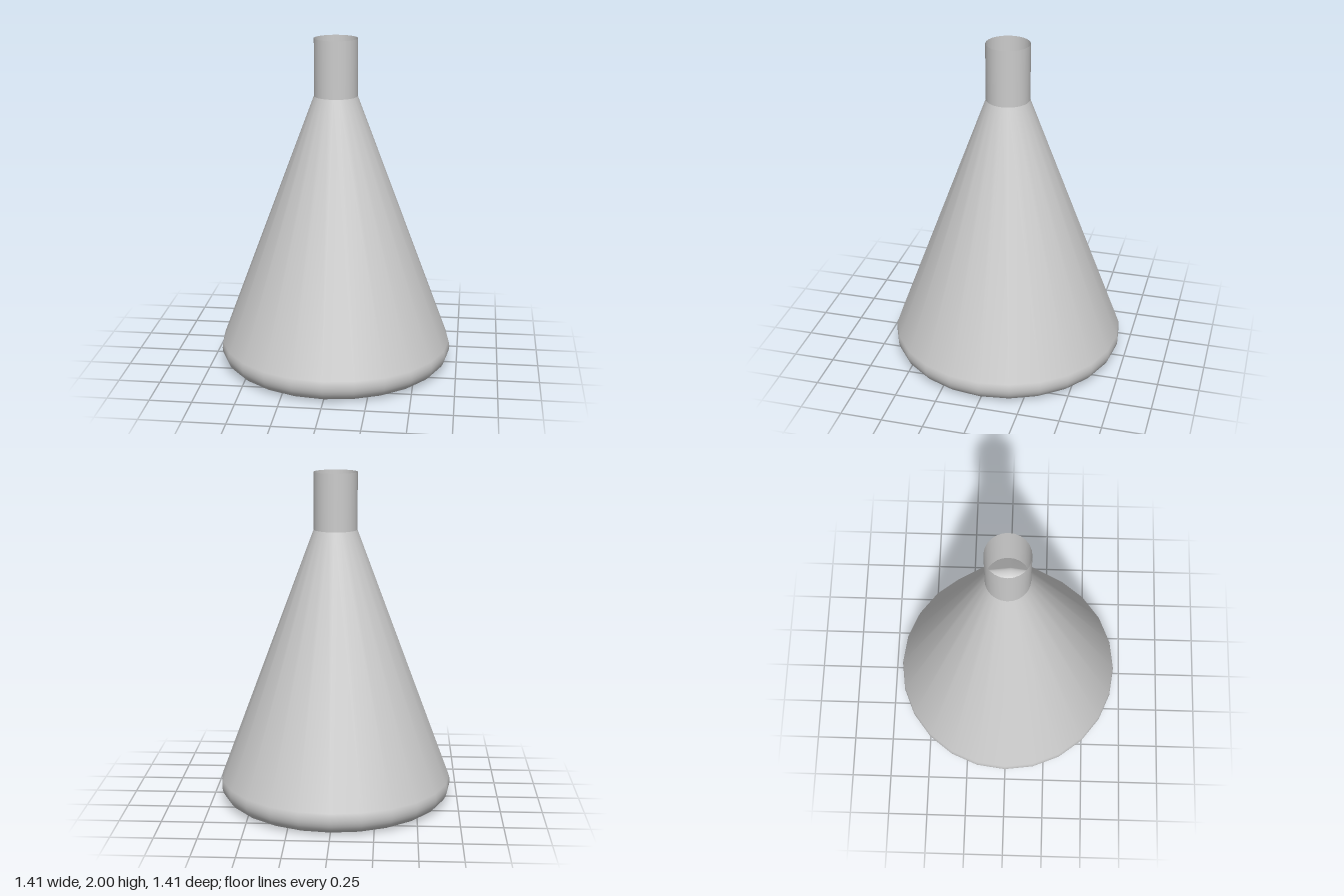
import * as THREE from 'three';

const SIDES = 24;

export function createModel() {
  const model = new THREE.Group();
  model.name = 'conicalFlask';
  // Thin open glass walls, visible from inside too
  const material = new THREE.MeshStandardMaterial({ color: 0xcccccc, side: THREE.DoubleSide });

  const add = (name, geometry) => {
    const mesh = new THREE.Mesh(geometry, material);
    mesh.name = name;
    model.add(mesh);
    return mesh;
  };
  const lathe = (points) => new THREE.LatheGeometry(points, SIDES);

  const neckRadius = 0.13, neckBase = 1.66, height = 2;
  const edgeRadius = 0.105, floorRadius = 0.6;

  // Body: rounded lower edge running tangentially into the cone
  const tangent = THREE.MathUtils.degToRad(20.5);
  const profile = [];
  const steps = 10;
  for (let i = 0; i <= steps; i++) {
    const a = -Math.PI / 2 + (i / steps) * (Math.PI / 2 + tangent);
    profile.push(new THREE.Vector2(
      floorRadius + edgeRadius * Math.cos(a),
      edgeRadius + edgeRadius * Math.sin(a)
    ));
  }
  profile.push(new THREE.Vector2(neckRadius, neckBase));
  add('body', lathe(profile));

  // Neck: straight open tube with a sharp seam where it meets the cone
  add('neck', lathe([
    new THREE.Vector2(neckRadius, neckBase),
    new THREE.Vector2(neckRadius, height)
  ]));

  // Flat floor
  add('floor', new THREE.CircleGeometry(floorRadius, SIDES).rotateX(Math.PI / 2));

  return model;
}
